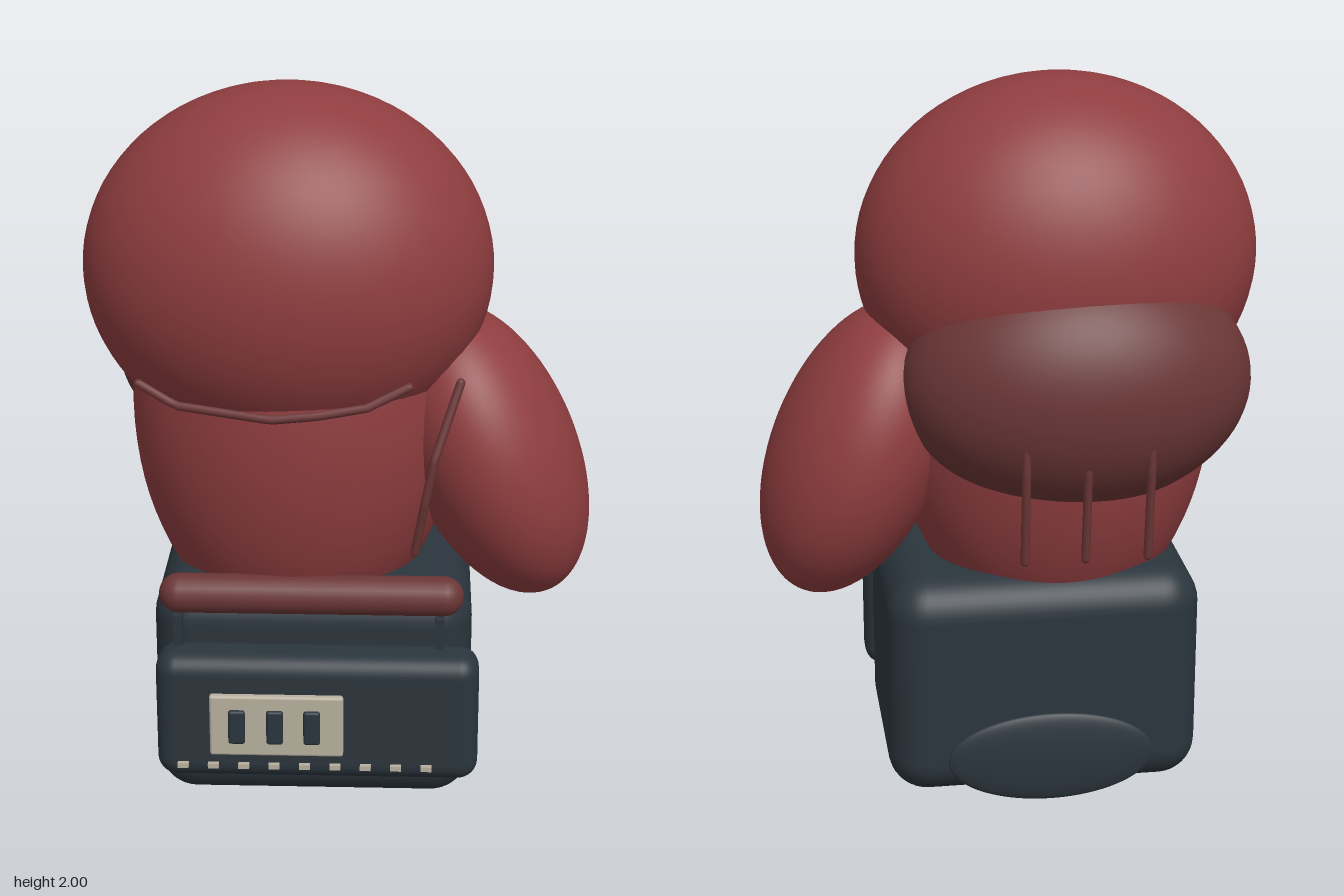
import * as THREE from 'three';
import { RoundedBoxGeometry } from 'three/addons/geometries/RoundedBoxGeometry.js';

export function createModel() {
  const model = new THREE.Group();
  const material = (name, color) => {
    const m = new THREE.MeshStandardMaterial({ color });
    m.name = name;
    return m;
  };
  const red = material('red leather', 0x8f3d3f);
  const darkRed = material('dark red trim', 0x6b3636);
  const slate = material('dark slate', 0x2b353d);
  const cream = material('cream', 0xb8b09f);

  const add = (name, geometry, mat, x = 0, y = 0, z = 0) => {
    const mesh = new THREE.Mesh(geometry, mat);
    mesh.name = name;
    mesh.position.set(x, y, z);
    model.add(mesh);
    return mesh;
  };
  const ellipsoid = (name, mat, [x, y, z], [rx, ry, rz]) =>
    add(name, new THREE.SphereGeometry(1, 64, 40).scale(rx, ry, rz), mat, x, y, z);
  const roundedBox = (name, mat, [x, y, z], [w, h, d], r) =>
    add(name, new RoundedBoxGeometry(w, h, d, 5, r), mat, x, y, z);

  // Straight-segmented cord with closed ends
  const cord = (name, points, r = 0.012) => {
    const path = new THREE.CurvePath();
    const v = points.map((p) => new THREE.Vector3(...p));
    for (let i = 1; i < v.length; i++) path.add(new THREE.LineCurve3(v[i - 1], v[i]));
    add(name, new THREE.TubeGeometry(path, 24, r, 8), darkRed);
    for (const end of [v[0], v[v.length - 1]])
      add(name + 'End', new THREE.SphereGeometry(r, 8, 6), darkRed, end.x, end.y, end.z);
  };

  // Padded glove
  ellipsoid('fist', red, [-0.143, 1.5, 0.05], [0.558, 0.5, 0.432]);
  ellipsoid('palm', red, [-0.125, 1.1, 0.015], [0.455, 0.69, 0.385]);
  ellipsoid('thumb', red, [0.42, 0.965, 0.025], [0.239, 0.443, 0.315]).rotation.z = 0.4;
  ellipsoid('backPad', darkRed, [-0.165, 1.2, -0.18], [0.48, 0.35, 0.308]);

  // Cuff block with its front panel
  roundedBox('cuffBlock', slate, [-0.07, 0.34, 0.015], [0.88, 0.645, 0.67], 0.11);
  roundedBox('frontPanel', slate, [-0.053, 0.322, 0.382], [0.884, 0.37, 0.152], 0.055);
  ellipsoid('backDisc', slate, [-0.08, 0.138, -0.325], [0.29, 0.133, 0.027]);

  // Padded bar and its two posts
  const bar = add('cuffBar', new THREE.CapsuleGeometry(0.055, 0.725, 8, 20), darkRed, -0.072, 0.643, 0.322);
  bar.rotation.z = Math.PI / 2;
  for (const x of [-0.435, 0.28])
    add('barPost', new THREE.BoxGeometry(0.025, 0.13, 0.025), slate, x, 0.53, 0.362);

  // Slotted plate and the dashed strip below it
  roundedBox('plate', cream, [-0.162, 0.315, 0.463], [0.365, 0.18, 0.026], 0.008);
  for (const x of [-0.27, -0.166, -0.065])
    roundedBox('slot', slate, [x, 0.315, 0.474], [0.046, 0.1, 0.026], 0.008);
  for (let i = 0; i < 9; i++)
    add('dash', new THREE.BoxGeometry(0.03, 0.014, 0.02), cream, -0.42 + i * 0.0835, 0.19, 0.463);

  // Cords across the front and over the back
  cord('frontSeam', [[-0.52, 1.27, 0.385], [-0.42, 1.22, 0.415], [-0.17, 1.195, 0.45],
    [-0.05, 1.205, 0.445], [0.08, 1.222, 0.425], [0.19, 1.267, 0.385]]);
  cord('thumbSeam', [[0.325, 1.27, 0.35], [0.26, 1.08, 0.41], [0.235, 0.95, 0.41], [0.21, 0.8, 0.385]]);
  for (const x of [0.01, -0.155, -0.325])
    cord('backCord', [[x, 1.1, -0.44], [x, 1.03, -0.442], [x, 0.77, -0.412]]);

  return model;
}
